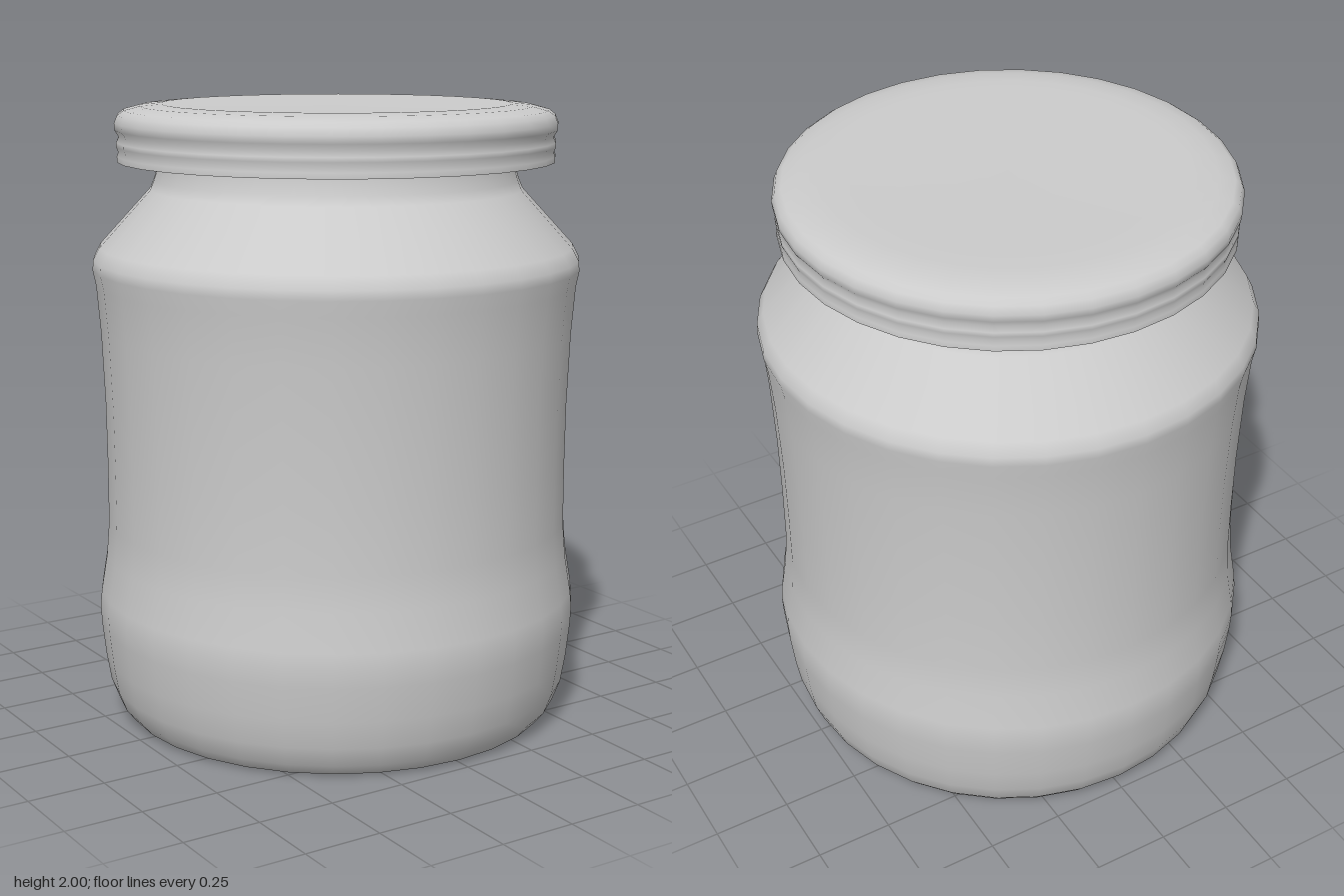
import * as THREE from 'three';

const SIDES = 32;

export function createModel() {
  const material = new THREE.MeshStandardMaterial({ color: 0xcccccc, side: THREE.DoubleSide });

  // Turns a list of [radius, height] pairs into a smooth round part
  const turned = (name, profile) => {
    const points = profile.map(([r, y]) => new THREE.Vector2(r, y));
    const mesh = new THREE.Mesh(new THREE.LatheGeometry(points, SIDES), material);
    mesh.name = name;
    return mesh;
  };

  // Waisted jar: rounded foot, lower bulge, label panel, shoulder, neck
  const jarBody = turned('jarBody', [
    [0, 0], [0.68, 0], [0.705, 0.008], [0.735, 0.045], [0.76, 0.11], [0.775, 0.2],
    [0.787, 0.31], [0.79, 0.37], [0.785, 0.42], [0.765, 0.54], [0.756, 0.65],
    [0.755, 0.85], [0.757, 1.05], [0.766, 1.28], [0.778, 1.43], [0.788, 1.48],
    [0.786, 1.51], [0.765, 1.55], [0.6, 1.73], [0.588, 1.76], [0.568, 1.82],
    [0.565, 1.95],
  ]);

  // Lid: ribbed skirt, rounded shoulder and a barely sunken top
  const lidOuter = turned('lidOuter', [
    [0.703, 1.82], [0.703, 1.838], [0.698, 1.852], [0.704, 1.868], [0.704, 1.882],
    [0.696, 1.9], [0.708, 1.92], [0.71, 1.942], [0.7, 1.966], [0.68, 1.981],
    [0.63, 1.994], [0.56, 2], [0.48, 1.996], [0, 1.993],
  ]);

  // Hollow underside of the lid, with a thin lower edge
  const lidInner = turned('lidInner', [
    [0, 1.96], [0.64, 1.96], [0.675, 1.94], [0.685, 1.9], [0.69, 1.82], [0.703, 1.82],
  ]);

  const lid = new THREE.Group();
  lid.name = 'lid';
  lid.add(lidOuter, lidInner);

  const model = new THREE.Group();
  model.name = 'jar';
  model.add(jarBody, lid);
  return model;
}
